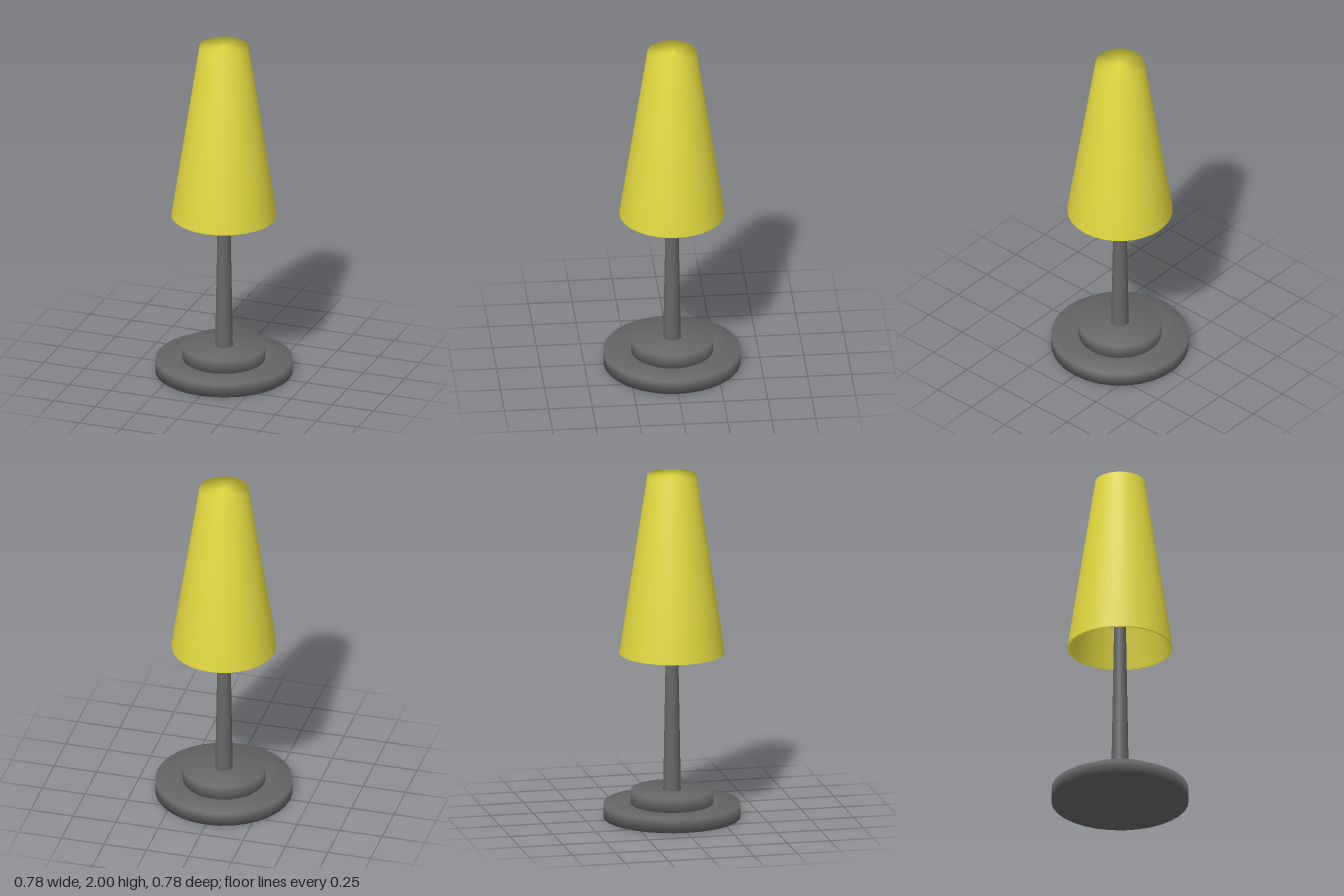
import * as THREE from 'three';

const SIDES = 32;

// Turned part from a [radius, height] profile, drawn bottom to top on its outside
function turned(name, profile, color) {
  const points = profile.map(([r, y]) => new THREE.Vector2(r, y));
  const mesh = new THREE.Mesh(
    new THREE.LatheGeometry(points, SIDES),
    new THREE.MeshStandardMaterial({ color })
  );
  mesh.name = name;
  return mesh;
}

export function createModel() {
  const lamp = new THREE.Group();
  lamp.name = 'tableLamp';
  const grey = 0x666666;
  const yellow = 0xe0d840;

  // Wide foot with a shallow seat for the upper disc
  lamp.add(turned('baseDisc', [
    [0, 0], [0.39, 0], [0.39, 0.08], [0.235, 0.08], [0.235, 0.06], [0, 0.06],
  ], grey));

  // Smaller disc stepped on top of the foot
  lamp.add(turned('upperDisc', [
    [0, 0.06], [0.235, 0.06], [0.235, 0.16], [0, 0.16],
  ], grey));

  // Tapered post, carried up to the underside of the shade's top
  lamp.add(turned('post', [[0.05, 0.16], [0.036, 0.96], [0.02, 1.985]], grey));

  // Conical shade: inner wall, bottom lip, outer wall and closed top
  lamp.add(turned('shade', [
    [0, 1.985], [0.127, 1.985], [0.286, 0.96], [0.3, 0.96], [0.14, 2], [0, 2],
  ], yellow));

  return lamp;
}
